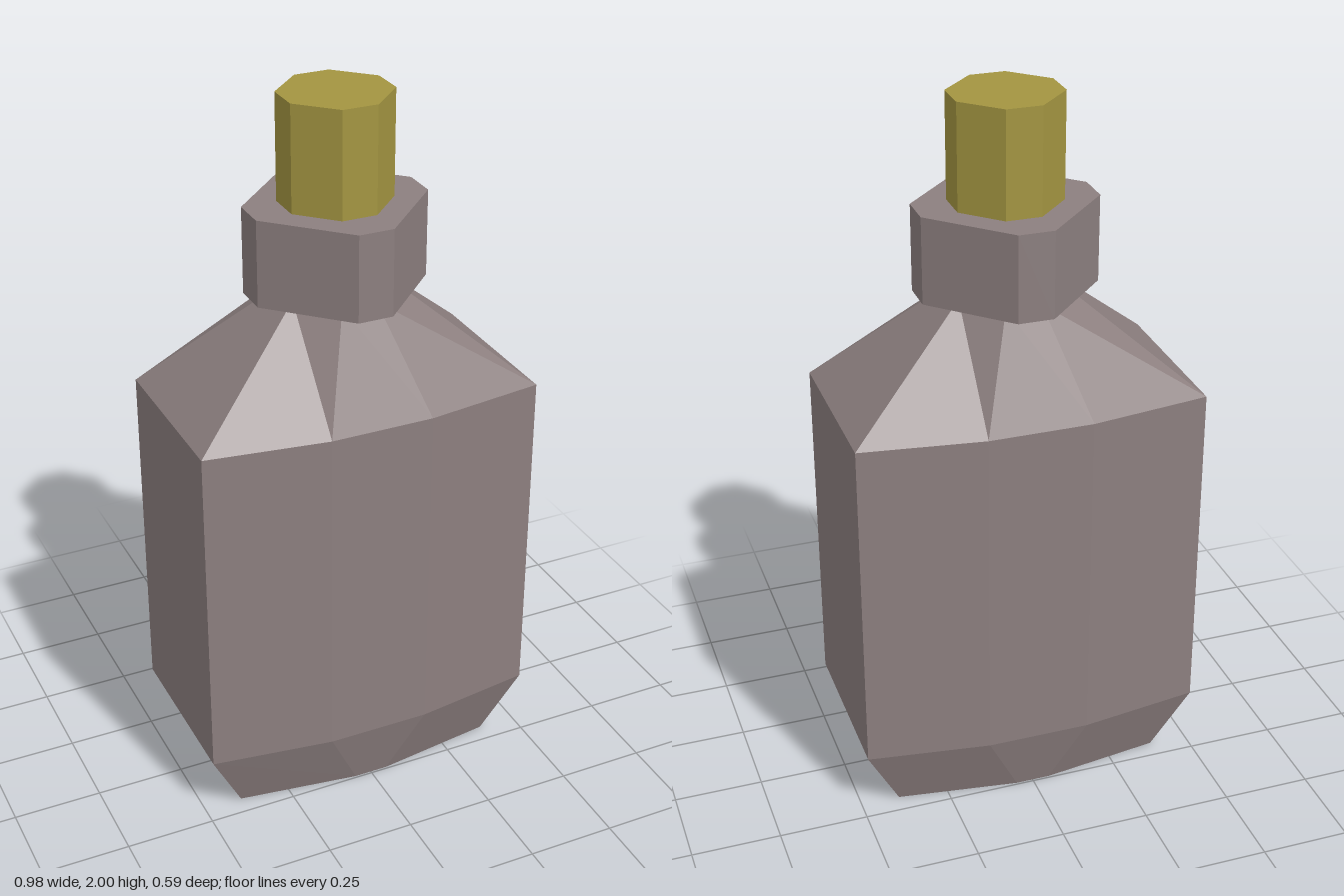
import * as THREE from 'three';

// Eight-sided ring: two corners given, the rest by mirroring
function ring(y, cx, cz, mx, mz) {
  const half = [[cx, cz], [mx, mz], [-mx, mz], [-cx, cz]];
  return [...half, ...half.map(([x, z]) => [-x, -z])].map(([x, z]) => [x, y, z]);
}

// Skin over consecutive rings, with an optional flat lid on the last one
function loft(rings, lid = false) {
  const pos = [];
  const tri = (...corners) => corners.forEach((c) => pos.push(...c));
  for (let r = 0; r < rings.length - 1; r++) {
    const a = rings[r], b = rings[r + 1];
    for (let i = 0; i < 8; i++) {
      const j = (i + 1) % 8;
      tri(a[j], a[i], b[j]);
      tri(a[i], b[i], b[j]);
    }
  }
  if (lid) {
    const top = rings[rings.length - 1];
    for (let i = 0; i < 8; i++) tri(top[(i + 1) % 8], top[i], [0, top[0][1], 0]);
  }
  const geometry = new THREE.BufferGeometry();
  geometry.setAttribute('position', new THREE.Float32BufferAttribute(pos, 3));
  geometry.computeVertexNormals();
  return geometry;
}

export function createModel() {
  const model = new THREE.Group();
  model.name = 'bottle';

  const glass = new THREE.MeshStandardMaterial({ color: 0x8c7f7f, flatShading: true, side: THREE.DoubleSide });
  const cork = new THREE.MeshStandardMaterial({ color: 0xa39541, flatShading: true, side: THREE.DoubleSide });

  const add = (name, geometry, material) => {
    const mesh = new THREE.Mesh(geometry, material);
    mesh.name = name;
    model.add(mesh);
  };
  const neck = (y) => ring(y, 0.146, 0.049, 0.049, 0.146);
  const rim = (y) => ring(y, 0.244, 0.049, 0.049, 0.244);

  // Flask body: tapered foot (open underneath), straight sides, sloping shoulders
  add('body', loft([
    ring(0, 0.39, 0.195, 0.049, 0.244),
    ring(0.195, 0.488, 0.244, 0.146, 0.293),
    ring(1.17, 0.488, 0.244, 0.146, 0.293),
    neck(1.465),
  ]), glass);

  // Wide collar around the mouth
  add('collar', loft([neck(1.465), rim(1.465), rim(1.707), neck(1.707)]), glass);

  // Stopper standing in the mouth
  add('stopper', loft([neck(1.707), neck(2)], true), cork);

  return model;
}
